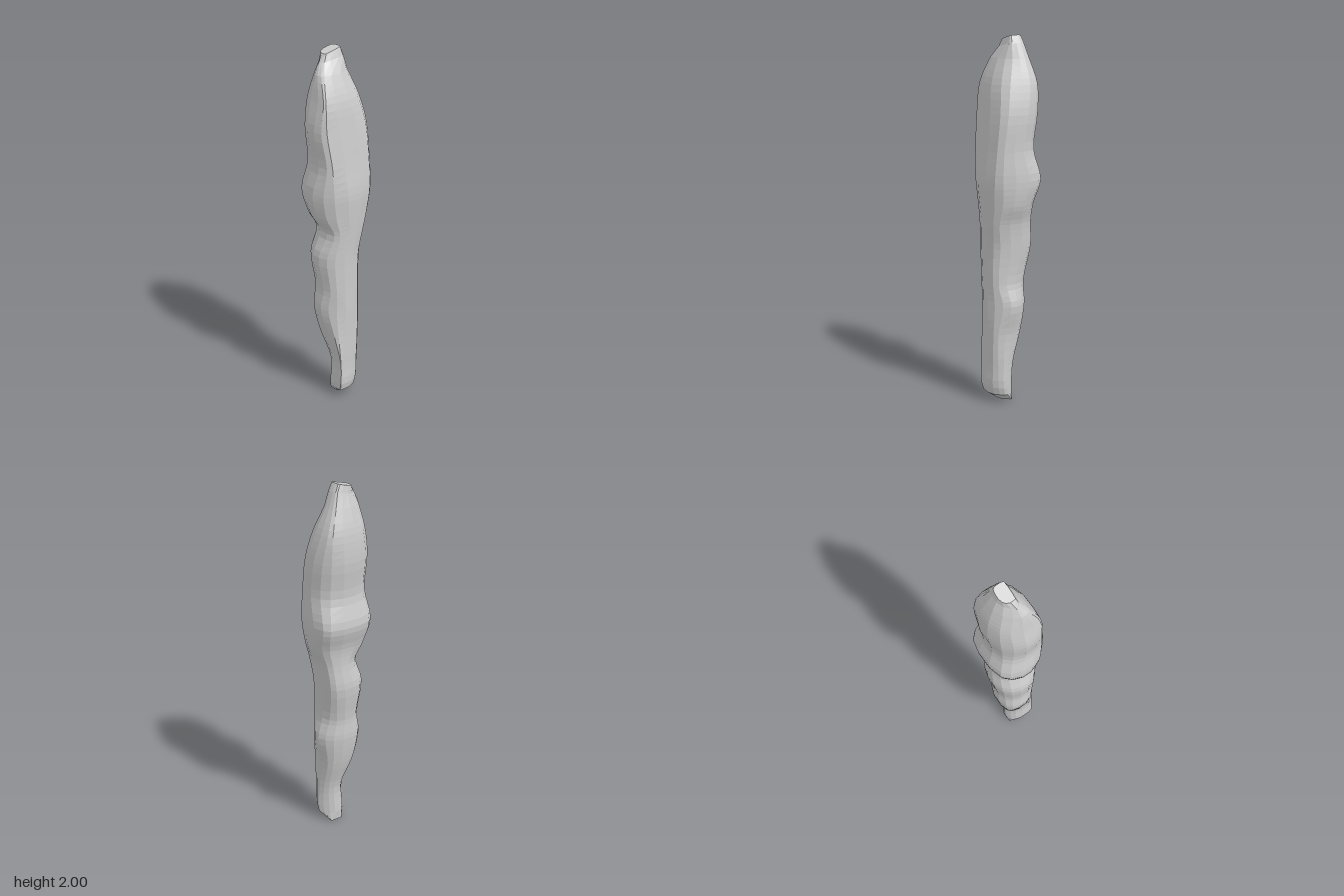
import * as THREE from 'three';

// Each section: height, then its reach in eight directions 45 degrees apart,
// starting at +x and turning toward +z.
const SECTIONS = [
  [0.0, 0.03, 0.05, 0.05, 0.035, 0.03, 0.01, 0.03, 0.035],
  [0.05, 0.1, 0.12, 0.13, 0.07, 0.03, 0.015, 0.03, 0.075],
  [0.22, 0.115, 0.128, 0.14, 0.07, 0.025, 0.016, 0.038, 0.08],
  [0.4, 0.12, 0.128, 0.14, 0.105, 0.09, 0.064, 0.07, 0.085],
  [0.56, 0.12, 0.13, 0.14, 0.138, 0.12, 0.09, 0.092, 0.112],
  [0.68, 0.12, 0.13, 0.145, 0.128, 0.11, 0.09, 0.082, 0.088],
  [0.88, 0.122, 0.133, 0.152, 0.15, 0.135, 0.117, 0.12, 0.1],
  [1.02, 0.145, 0.142, 0.147, 0.112, 0.105, 0.108, 0.125, 0.117],
  [1.12, 0.162, 0.15, 0.162, 0.16, 0.145, 0.115, 0.143, 0.15],
  [1.25, 0.177, 0.156, 0.178, 0.183, 0.18, 0.15, 0.18, 0.166],
  [1.41, 0.17, 0.14, 0.18, 0.16, 0.145, 0.122, 0.143, 0.16],
  [1.6, 0.15, 0.12, 0.18, 0.18, 0.157, 0.14, 0.16, 0.16],
  [1.75, 0.108, 0.098, 0.165, 0.155, 0.145, 0.133, 0.157, 0.13],
  [1.88, 0.05, 0.05, 0.11, 0.13, 0.108, 0.1, 0.11, 0.08],
  [1.95, 0.03, 0.015, 0.065, 0.1, 0.085, 0.078, 0.08, 0.05],
  [1.992, 0.015, 0.0, 0.045, 0.07, 0.08, 0.07, 0.06, 0.03],
];

// Smooth blend between sections i and i + 1, with slopes from their neighbours
function blend(i, t) {
  const a = SECTIONS[i], b = SECTIONS[i + 1];
  const p = SECTIONS[Math.max(i - 1, 0)], n = SECTIONS[Math.min(i + 2, SECTIONS.length - 1)];
  const h = b[0] - a[0];
  return a.map((v, k) => {
    if (k === 0) return v + h * t;
    const m0 = (h * (b[k] - p[k])) / (b[0] - p[0]);
    const m1 = (h * (n[k] - v)) / (n[0] - a[0]);
    const t2 = t * t, t3 = t2 * t;
    return (2 * t3 - 3 * t2 + 1) * v + (t3 - 2 * t2 + t) * m0 + (3 * t2 - 2 * t3) * b[k] + (t3 - t2) * m1;
  });
}

// Eight-sided outline touching every reach, with its corners cut to 16 points
function outline([y, ...raw]) {
  const reach = raw.map((r, i) => Math.min(r, (raw[(i + 7) % 8] + raw[(i + 1) % 8]) * Math.SQRT1_2));
  const corners = reach.map((r, i) => {
    const a = (i * Math.PI) / 4, s = reach[(i + 1) % 8];
    const side = s * Math.SQRT2 - r; // distance along the side to the next corner
    return [r * Math.cos(a) - side * Math.sin(a), r * Math.sin(a) + side * Math.cos(a)];
  });
  const tilt = 0.25 * THREE.MathUtils.smoothstep(y, 1.88, 1.992); // sloping tip
  const points = [];
  corners.forEach((c, i) => {
    for (const other of [corners[(i + 7) % 8], corners[(i + 1) % 8]]) {
      const x = c[0] + (other[0] - c[0]) * 0.27;
      const z = c[1] + (other[1] - c[1]) * 0.27;
      points.push([x, y + tilt * (x - z) * Math.SQRT1_2, z]);
    }
  });
  return points;
}

// Skin stacked rings and close both ends
function loft(rings) {
  const n = rings[0].length, positions = rings.flat(2), index = [];
  for (let r = 0; r < rings.length - 1; r++) {
    for (let j = 0; j < n; j++) {
      const a = r * n + j, b = r * n + ((j + 1) % n);
      index.push(a, a + n, b, b, a + n, b + n);
    }
  }
  [0, rings.length - 1].forEach((r) => {
    const centre = positions.length / 3;
    for (let k = 0; k < 3; k++) positions.push(rings[r].reduce((s, p) => s + p[k], 0) / n);
    for (let j = 0; j < n; j++) {
      const a = r * n + j, b = r * n + ((j + 1) % n);
      index.push(centre, ...(r === 0 ? [a, b] : [b, a]));
    }
  });
  const geometry = new THREE.BufferGeometry();
  geometry.setAttribute('position', new THREE.Float32BufferAttribute(positions, 3));
  geometry.setIndex(index);
  geometry.computeVertexNormals();
  return geometry;
}

export function createModel() {
  const group = new THREE.Group();
  group.name = 'contouredGrip';

  const rings = [];
  const last = SECTIONS.length - 1;
  for (let i = 0; i < last; i++) {
    const steps = i === 0 || i > 12 ? 1 : 4; // the rounded ends stay coarse
    for (let s = 0; s < steps; s++) rings.push(outline(blend(i, s / steps)));
  }
  rings.push(outline(SECTIONS[last]));

  // Grip body with finger swells on one side and a plain palm side
  const material = new THREE.MeshStandardMaterial({ color: 0xcccccc, flatShading: true });
  const grip = new THREE.Mesh(loft(rings), material);
  grip.name = 'gripBody';
  group.add(grip);
  return group;
}
